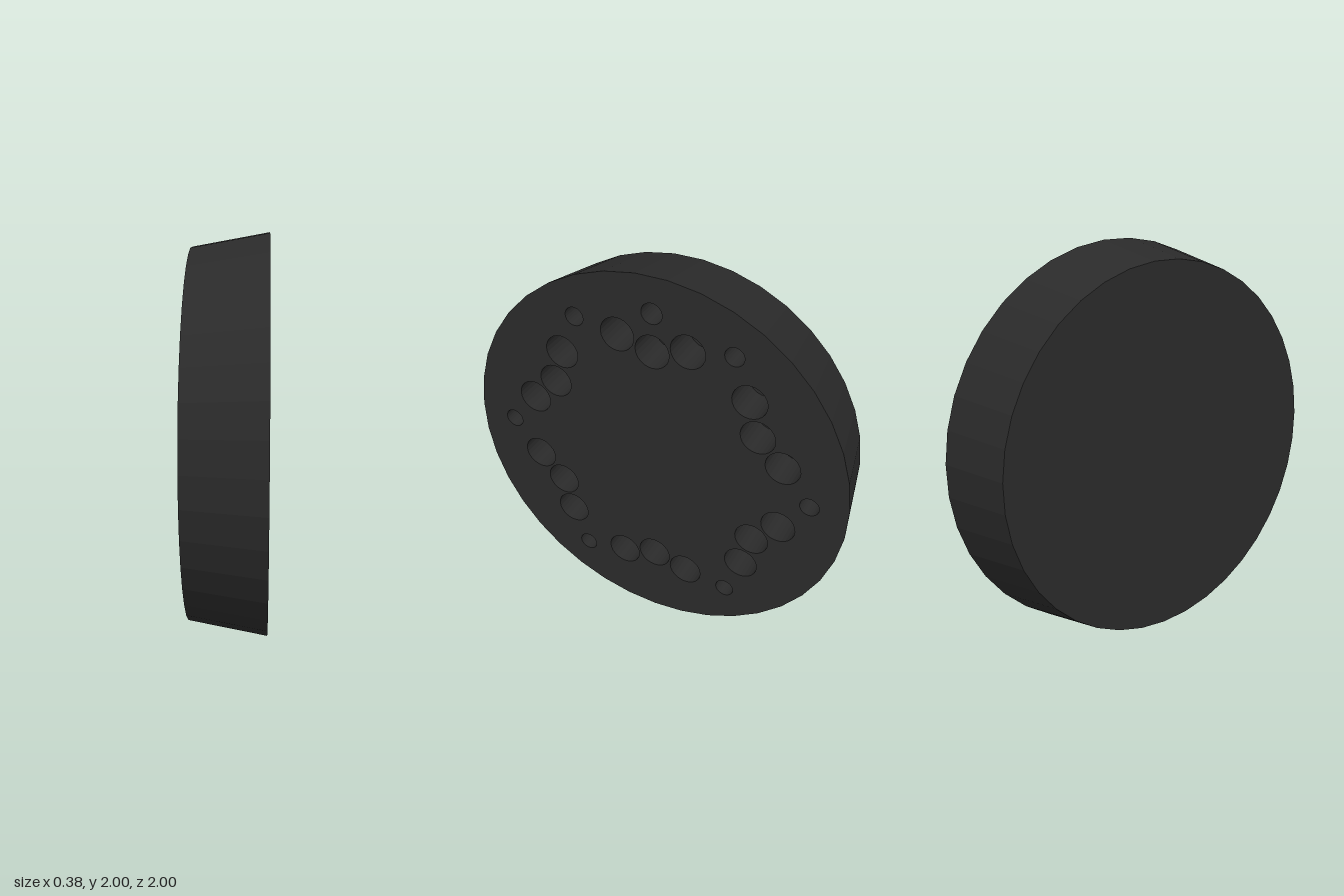
import * as THREE from 'three';

const SIDES = 39, HOLE_SIDES = 24;
const R_FRONT = 1, R_BACK = 0.93, HALF = 0.19;

// Regular polygon matching the vertex order of lathes and cylinders turned onto z
function ring(cx, cy, r, n) {
  return Array.from({ length: n }, (_, i) => {
    const a = (i / n) * Math.PI * 2;
    return new THREE.Vector2(cx + r * Math.sin(a), cy - r * Math.cos(a));
  });
}

// Point on a circle, angle in degrees clockwise from the top
function polar(r, deg) {
  const a = THREE.MathUtils.degToRad(deg);
  return [r * Math.sin(a), r * Math.cos(a)];
}

export function createModel() {
  const material = new THREE.MeshStandardMaterial({ color: 0x2a2a2a, flatShading: true });
  const model = new THREE.Group();
  model.name = 'drilledDisc';
  const disc = new THREE.Group();
  disc.name = 'disc';
  model.add(disc);

  const add = (name, geometry, x = 0, y = 0, z = 0) => {
    const mesh = new THREE.Mesh(geometry, material);
    mesh.name = name;
    mesh.position.set(x, y, z);
    disc.add(mesh);
  };

  // Hole profiles: [radius, depth] from the rim down to the axis
  const stepped = [[0.087, 0], [0.087, -0.2], [0.056, -0.2], [0.056, -0.3], [0, -0.3]];
  const pointed = r => [[r, 0], [r, -0.16], [0, -0.16 - r * 0.6]];

  const holes = [];
  // Six clusters of three counterbored holes
  for (let k = 0; k < 6; k++) {
    for (const [r, offset] of [[0.618, 0], [0.689, -15.1], [0.689, 15.1]]) {
      holes.push({ name: 'counterboredHole', at: polar(r, k * 60 + offset), profile: stepped });
    }
  }
  // Six small drilled holes between the clusters, and a slightly larger one at the top
  for (let k = 0; k < 6; k++) {
    holes.push({ name: 'drilledHole', at: polar(0.81, 30 + k * 60), profile: pointed(0.048) });
  }
  holes.push({ name: 'topDrilledHole', at: polar(0.815, 0), profile: pointed(0.053) });

  // Tapered rim
  add('rim', new THREE.CylinderGeometry(R_FRONT, R_BACK, HALF * 2, SIDES, 1, true).rotateX(Math.PI / 2));

  // Drilled face and plain back
  const face = new THREE.Shape(ring(0, 0, R_FRONT, SIDES));
  for (const { at, profile } of holes) {
    face.holes.push(new THREE.Path(ring(at[0], at[1], profile[0][0], HOLE_SIDES)));
  }
  add('drilledFace', new THREE.ShapeGeometry(face), 0, 0, HALF);
  const back = new THREE.Shape(ring(0, 0, R_BACK, SIDES));
  add('backFace', new THREE.ShapeGeometry(back).rotateY(Math.PI), 0, 0, -HALF);

  // Hole walls and floors
  for (const { name, at, profile } of holes) {
    const points = profile.map(([r, d]) => new THREE.Vector2(r, d));
    add(name, new THREE.LatheGeometry(points, HOLE_SIDES).rotateX(Math.PI / 2), at[0], at[1], HALF);
  }

  // Turn the drilled face towards +x and stand the disc on its edge
  disc.rotation.y = Math.PI / 2;
  disc.position.y = 1;
  return model;
}
